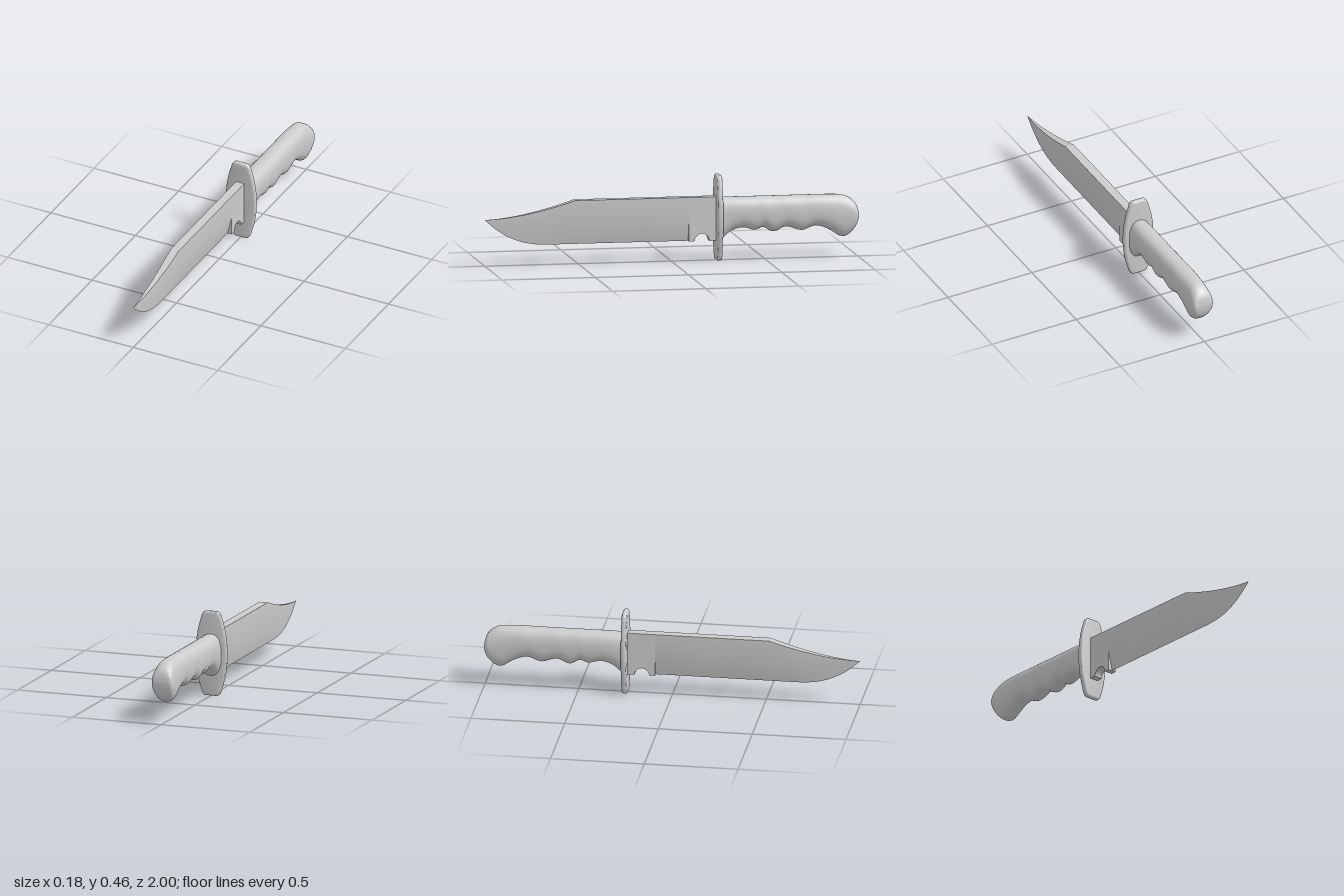
import * as THREE from 'three';
import { toCreasedNormals } from 'three/addons/utils/BufferGeometryUtils.js';

const material = new THREE.MeshStandardMaterial({ color: 0xcccccc });

function addPart(group, name, geometry, crease) {
  const mesh = new THREE.Mesh(toCreasedNormals(geometry, crease), material);
  mesh.name = name;
  group.add(mesh);
}

// Skin closed rings of [x, y, z], each counter-clockwise seen from +z, running towards +z
function loft(rings) {
  const n = rings[0].length;
  const index = [];
  for (let i = 0; i < rings.length - 1; i++) {
    for (let j = 0; j < n; j++) {
      const a = i * n + j, b = i * n + (j + 1) % n;
      index.push(a, b, b + n, a, b + n, a + n);
    }
  }
  const geometry = new THREE.BufferGeometry();
  geometry.setAttribute('position', new THREE.Float32BufferAttribute(rings.flat(2), 3));
  geometry.setIndex(index);
  geometry.computeVertexNormals();
  return geometry;
}

const ramp = (z, start) => THREE.MathUtils.clamp((z - start) / (1 - start), 0, 1);

// Clip-point blade: flat spine, parallel flats, ground edge, tapering to the tip
function bladeGeometry() {
  const stations = [-0.09, 0.2, 0.45];
  for (let i = 0; i <= 24; i++) stations.push(0.518 + 0.482 * i / 24);
  return loft(stations.map((z) => {
    const w = 0.024 * (1 - ramp(z, 0.45) ** 1.6);
    const top = 0.246 + 0.094 * (1 - ramp(z, 0.518)) ** 1.7;
    const bevel = 0.207 + 0.039 * ramp(z, 0.5) ** 2;
    const edge = 0.106 + 0.14 * ramp(z, 0.65) ** 2.5;
    return [[w, top, z], [-w, top, z], [-w, bevel, z], [0, edge, z], [w, bevel, z]];
  }));
}

// Full-thickness block behind the edge, with a round finger notch
function ricassoGeometry() {
  const shape = new THREE.Shape();
  shape.moveTo(-0.25, 0.34);
  shape.lineTo(-0.25, 0.106);
  shape.lineTo(-0.2, 0.106);
  shape.absarc(-0.161, 0.106, 0.039, Math.PI, 0, true);
  shape.lineTo(-0.09, 0.106);
  shape.lineTo(-0.09, 0.34);
  return new THREE.ExtrudeGeometry(shape, { depth: 0.048, bevelEnabled: false, curveSegments: 16 })
    .translate(0, 0, -0.024).rotateY(-Math.PI / 2);
}

// Barrel-shaped cross guard with rounded rim
function guardGeometry() {
  const shape = new THREE.Shape();
  shape.moveTo(-0.03, 0.456);
  shape.lineTo(0.03, 0.456);
  shape.quadraticCurveTo(0.05, 0.454, 0.057, 0.42);
  shape.bezierCurveTo(0.098, 0.3, 0.098, 0.156, 0.057, 0.036);
  shape.quadraticCurveTo(0.05, 0.002, 0.03, 0);
  shape.lineTo(-0.03, 0);
  shape.quadraticCurveTo(-0.05, 0.002, -0.057, 0.036);
  shape.bezierCurveTo(-0.098, 0.156, -0.098, 0.3, -0.057, 0.42);
  shape.quadraticCurveTo(-0.05, 0.454, -0.03, 0.456);
  return new THREE.ExtrudeGeometry(shape, {
    depth: 0.01, bevelThickness: 0.01, bevelSize: 0.012, bevelOffset: -0.012,
    bevelSegments: 5, curveSegments: 16,
  }).translate(0, 0, -0.256);
}

// Grip with finger grooves and a drooping pommel; profile rows are [z, top, bottom]
function handleGeometry() {
  const profile = [
    [-1, 0.225, 0.225], [-0.995, 0.262, 0.188], [-0.98, 0.293, 0.153], [-0.945, 0.32, 0.118],
    [-0.905, 0.332, 0.111], [-0.84, 0.335, 0.15], [-0.77, 0.335, 0.171], [-0.695, 0.335, 0.148],
    [-0.615, 0.335, 0.17], [-0.545, 0.335, 0.145], [-0.49, 0.335, 0.17], [-0.444, 0.335, 0.156],
    [-0.38, 0.335, 0.171], [-0.315, 0.335, 0.152], [-0.255, 0.335, 0.1],
  ];
  const curve = new THREE.CatmullRomCurve3(
    profile.map(([z, top, bottom]) => new THREE.Vector3(top, bottom, z)), false, 'catmullrom', 0.5);
  const round = (v) => Math.sign(v) * Math.abs(v) ** 0.8;
  const rings = curve.getPoints(84).map(({ x: top, y: bottom, z }) => {
    const d = THREE.MathUtils.clamp((-z - 0.97) / 0.03, 0, 1);
    const w = 0.06 - 0.016 * (1 - Math.sqrt(1 - d * d));
    const middle = (top + bottom) / 2, h = (top - bottom) / 2;
    return Array.from({ length: 32 }, (_, j) => {
      const a = j / 32 * Math.PI * 2;
      return [w * round(Math.cos(a)), middle + h * round(Math.sin(a)), z];
    });
  });
  return loft(rings);
}

export function createModel() {
  const model = new THREE.Group();
  model.name = 'knife';
  addPart(model, 'blade', bladeGeometry(), 0.3);
  addPart(model, 'ricasso', ricassoGeometry(), 0.5);
  addPart(model, 'guard', guardGeometry(), 0.7);
  addPart(model, 'handle', handleGeometry(), 1.2);
  return model;
}
